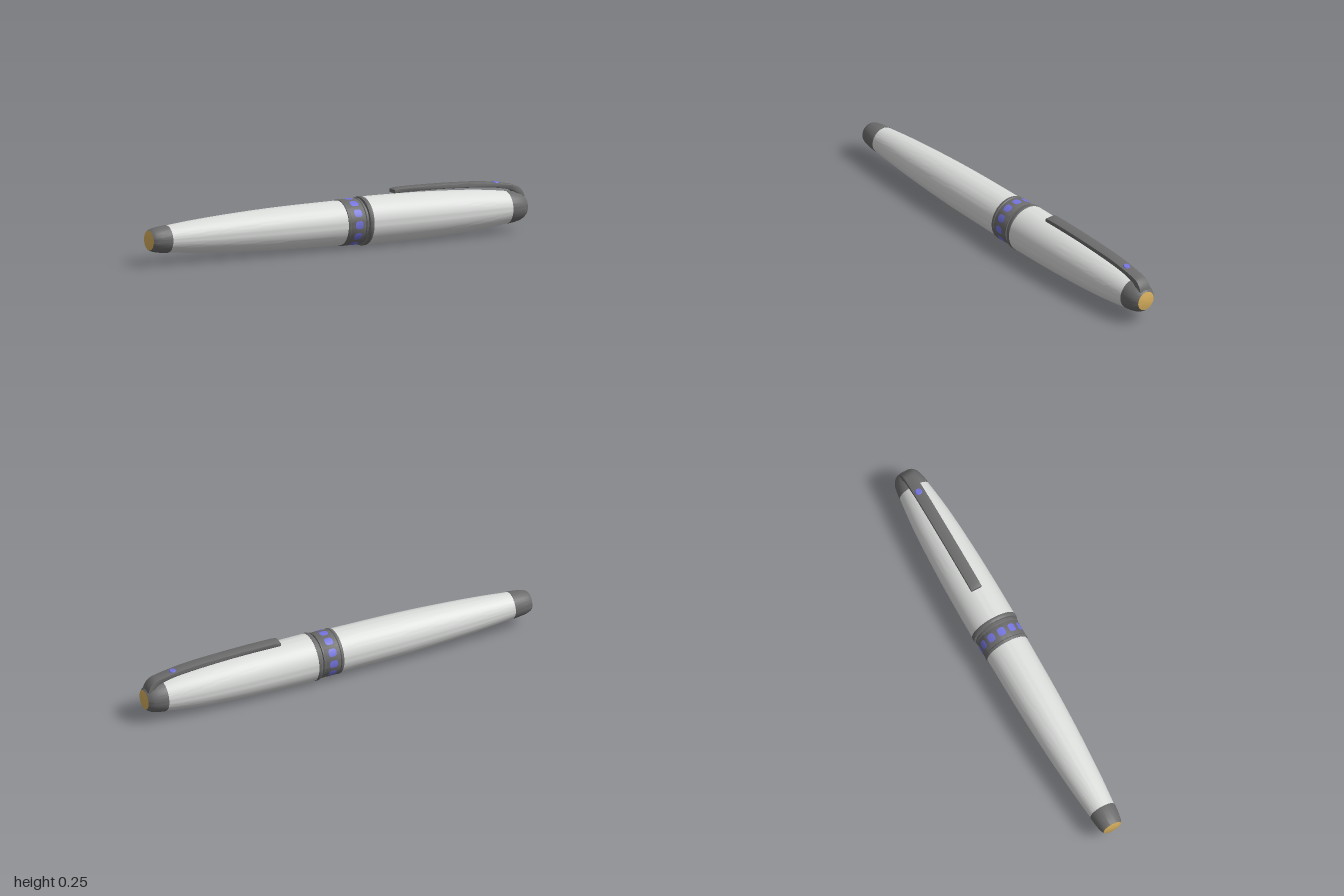
import * as THREE from 'three';
import { toCreasedNormals } from 'three/addons/utils/BufferGeometryUtils.js';

const AXIS = 0.1145; // height of the pen's centre line
const SEGMENTS = 72;

const material = (name, color) => {
  const m = new THREE.MeshStandardMaterial({ color });
  m.name = name;
  return m;
};

export function createModel() {
  const pen = new THREE.Group();
  pen.name = 'pen';
  const pearl = material('pearl lacquer', 0xdcdedc);
  const grey = material('dark metal', 0x6c6c6c);
  const gold = material('gold', 0xd9b15f);
  const blue = material('blue gem', 0x7474e0);

  const add = (name, geometry, mat) => {
    const mesh = new THREE.Mesh(geometry, mat);
    mesh.name = name;
    pen.add(mesh);
    return mesh;
  };

  // Turned part along x; profile is [x, radius] with x rising
  const turn = (name, profile, mat, smooth = false) => {
    let pts = profile.map(([x, r]) => new THREE.Vector2(r, x));
    if (smooth) pts = new THREE.SplineCurve(pts).getPoints(24);
    const g = toCreasedNormals(new THREE.LatheGeometry(pts, SEGMENTS), 0.6);
    g.rotateZ(-Math.PI / 2).translate(0, AXIS, 0);
    return add(name, g, mat);
  };

  // Barrel and cap
  turn('barrel', [[-0.9, 0.063], [-0.75, 0.077], [-0.55, 0.09], [-0.3, 0.1], [0.02, 0.1045]], pearl, true);
  turn('cap', [[0.14, 0.1125], [0.3, 0.1115], [0.5, 0.107], [0.7, 0.097], [0.82, 0.086], [0.905, 0.075]], pearl, true);

  // Metal ends with gold buttons
  turn('tailEnd', [[-0.994, 0.046], [-0.988, 0.05], [-0.975, 0.055], [-0.95, 0.06], [-0.905, 0.065], [-0.9, 0.064], [-0.9, 0.058]], grey);
  turn('tailButton', [[-1, 0], [-0.999, 0.025], [-0.994, 0.0462]], gold);
  turn('capEnd', [[0.9, 0.07], [0.9, 0.0755], [0.907, 0.0765], [0.94, 0.072], [0.965, 0.066], [0.982, 0.057], [0.994, 0.0462]], grey);
  turn('capButton', [[0.994, 0.0464], [0.999, 0.025], [1, 0]], gold);

  // Centre band with raised lips, a groove, and the cap lip
  turn('centreBand', [
    [0.01, 0.1], [0.01, 0.107], [0.014, 0.109], [0.022, 0.109], [0.026, 0.106], [0.03, 0.1075],
    [0.1, 0.1075], [0.103, 0.106], [0.106, 0.109], [0.113, 0.109], [0.114, 0.1],
    [0.121, 0.1], [0.122, 0.112], [0.126, 0.1145], [0.138, 0.1145], [0.142, 0.113], [0.142, 0.109],
  ], grey);

  // Curved gem plates around the band, narrowed at their edges
  const arc = 0.34, count = 12;
  for (let i = 0; i < count; i++) {
    const g = new THREE.CylinderGeometry(0.1095, 0.1095, 0.04, 8, 1, true, i * Math.PI * 2 / count - arc / 2, arc);
    const p = g.attributes.position, uv = g.attributes.uv;
    for (let v = 0; v < p.count; v++) {
      const t = Math.abs(uv.getX(v) * 2 - 1);
      p.setY(v, p.getY(v) * (1 - 0.45 * t ** 4));
    }
    g.rotateZ(-Math.PI / 2).translate(0.065, AXIS, 0);
    add('bandGem', g, blue);
  }

  // Clip: side outline extruded across the width, flaring at the foot
  const line = (pts) => new THREE.SplineCurve(pts.map(([x, y]) => new THREE.Vector2(x, y))).getPoints(28);
  const top = line([[0.302, 0.246], [0.33, 0.25], [0.45, 0.251], [0.6, 0.248], [0.75, 0.242], [0.85, 0.231], [0.92, 0.219], [0.952, 0.21], [0.975, 0.188], [0.984, 0.166]]);
  const under = line([[0.955, 0.164], [0.945, 0.186], [0.9, 0.205], [0.8, 0.221], [0.6, 0.233], [0.45, 0.236], [0.302, 0.235]]);
  const width = 0.048, bevel = 0.003;
  const clip = new THREE.ExtrudeGeometry(new THREE.Shape([...top, ...under]), {
    depth: width, bevelEnabled: true, bevelThickness: bevel, bevelSize: bevel, bevelSegments: 2,
  });
  clip.translate(0, 0, -width / 2);
  const cp = clip.attributes.position;
  for (let v = 0; v < cp.count; v++) {
    const drop = Math.max(0, 0.22 - cp.getY(v));
    cp.setZ(v, cp.getZ(v) * (1 + 2.6 * drop) - 0.003);
  }
  add('clip', toCreasedNormals(clip, 0.6), grey);

  // Gem on the clip
  const gem = add('clipGem', new THREE.CylinderGeometry(0.014, 0.018, 0.006, 20), blue);
  gem.position.set(0.85, 0.235, -0.005);
  gem.rotation.z = -0.14;

  return pen;
}
